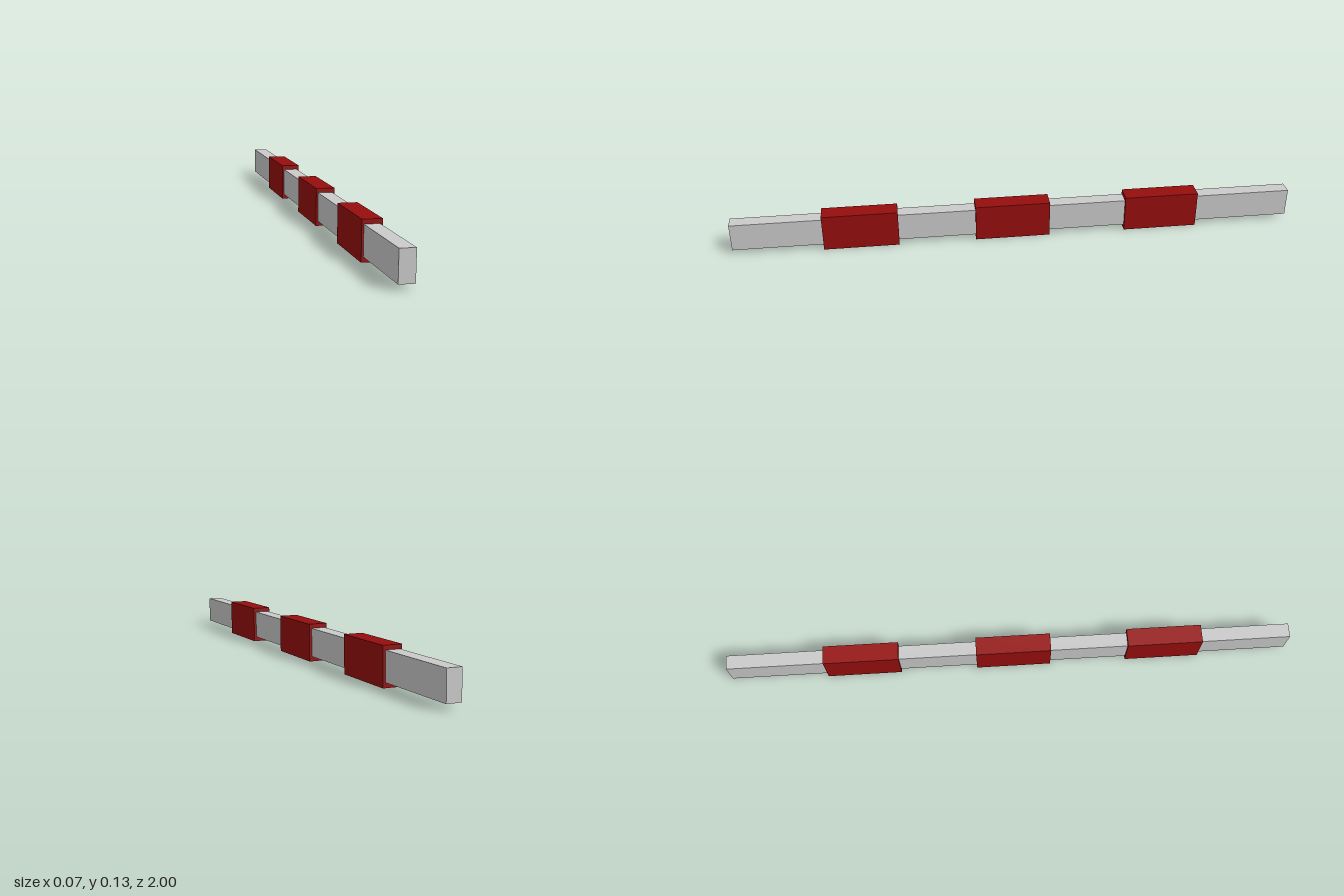
import * as THREE from 'three';

export function createModel() {
  const model = new THREE.Group();
  model.name = 'bandedBar';

  const grey = new THREE.MeshStandardMaterial({ color: 0xcacaca });
  grey.name = 'light grey';
  const red = new THREE.MeshStandardMaterial({ color: 0x960e0e });
  red.name = 'dark red';

  // every part leans very slightly towards +x
  function addBox(name, size, position, material) {
    const mesh = new THREE.Mesh(new THREE.BoxGeometry(...size), material);
    mesh.name = name;
    mesh.position.set(...position);
    mesh.rotation.z = -0.013;
    model.add(mesh);
  }

  // long square-cut bar
  addBox('bar', [0.05, 0.099, 2], [-0.0015, 0.067, 0], grey);

  // three thick bands wrapped around the bar
  [0.552, 0.014, -0.525].forEach((z, i) => {
    addBox(`band${i + 1}`, [0.065, 0.131, 0.265], [-0.0005, 0.066, z], red);
  });

  return model;
}
